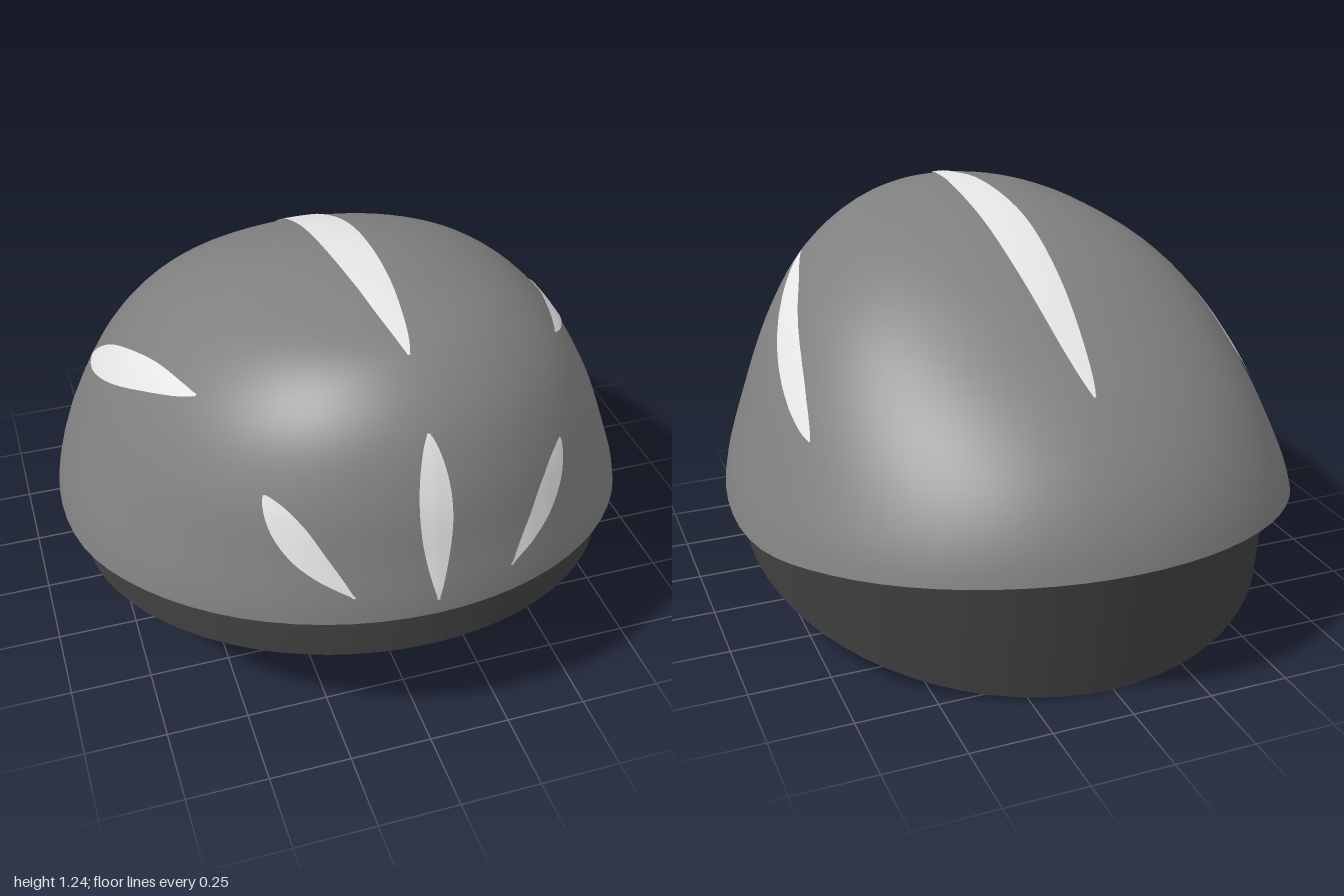
import * as THREE from 'three';

const SEG = 72, RINGS = 30;

// Smooth lookup in an evenly spaced table, t from 0 to 1
function sample(table, t) {
  const s = THREE.MathUtils.clamp(t, 0, 1) * (table.length - 1);
  const i = Math.min(Math.floor(s), table.length - 2), u = s - i;
  const p1 = table[i], p2 = table[i + 1];
  const p0 = table[i - 1] ?? 2 * p1 - p2, p3 = table[i + 2] ?? 2 * p2 - p1;
  return p1 + 0.5 * u * (p2 - p0 + u * (2 * p0 - 5 * p1 + 4 * p2 - p3 + u * (3 * (p1 - p2) + p3 - p0)));
}

// Rim height from back (z = -1) to front (z = 1)
const rimY = (z) => sample([0.45, 0.385, 0.33, 0.355, 0.44, 0.525], (z + 1) / 2);

// Dome fullness from rim to crown, for each direction
const FRONT = [1, 0.99, 1.035, 1.08, 1.077, 1.02, 1];
const SIDE = [1, 0.955, 0.955, 0.982, 0.998, 1, 1];
const BACK = [1, 0.965, 0.93, 0.915, 0.943, 0.985, 1];
const CROWN_Y = 1.237, CROWN_Z = 0.35;

function domePoint(a, t) {
  const c = Math.cos(a), w = c * c;
  const rho = w * sample(c > 0 ? FRONT : BACK, t) + (1 - w) * sample(SIDE, t);
  const f = rho * Math.cos(t * Math.PI / 2), h = rho * Math.sin(t * Math.PI / 2);
  const y0 = rimY(c);
  return [0.917 * Math.sin(a) * f, y0 + (CROWN_Y - y0) * h, CROWN_Z + (c - CROWN_Z) * f];
}

// Grid of points to a surface; rows run upward, columns run counter-clockwise
function surface(rows, closed) {
  const n = rows[0].length, index = [];
  for (let i = 0; i < rows.length - 1; i++) {
    for (let j = 0; j < (closed ? n : n - 1); j++) {
      const k = (j + 1) % n, a = i * n + j, b = i * n + k;
      index.push(a, b, b + n, a, b + n, a + n);
    }
  }
  const g = new THREE.BufferGeometry();
  g.setAttribute('position', new THREE.Float32BufferAttribute(rows.flat(2), 3));
  g.setIndex(index);
  g.computeVertexNormals();
  return g;
}

const ring = (fn) => Array.from({ length: SEG }, (_, j) => fn(j / SEG * Math.PI * 2));

export function createModel() {
  const group = new THREE.Group();
  const shellMat = new THREE.MeshStandardMaterial({ color: 0x808080 });
  shellMat.name = 'shellGrey';
  const linerMat = new THREE.MeshStandardMaterial({ color: 0x404040 });
  linerMat.name = 'linerCharcoal';
  const stripeMat = new THREE.MeshStandardMaterial({ color: 0xffffff, side: THREE.DoubleSide });
  stripeMat.name = 'stripeWhite';

  const add = (name, geometry, material) => {
    const mesh = new THREE.Mesh(geometry, material);
    mesh.name = name;
    group.add(mesh);
    return mesh;
  };

  // Outer dome
  const rows = [];
  for (let i = 0; i <= RINGS; i++) rows.push(ring((a) => domePoint(a, i / RINGS)));
  const shell = add('shell', surface(rows, true), shellMat);

  // Underside of the rim
  const rimInner = ring((a) => {
    const z = 0.02 + 0.93 * Math.cos(a);
    return [0.85 * Math.sin(a), rimY(z) - 0.012, z];
  });
  add('rimUnderside', surface([rimInner, rows[0]], true), shellMat);

  // Liner wall and its slanted flat base
  const baseY = (z) => 0.37 * (z + 0.865) / 1.83;
  const bottom = ring((a) => {
    const z = 0.05 + 0.915 * Math.cos(a);
    return [0.858 * Math.sin(a), baseY(z), z];
  });
  const top = ring((a) => {
    const z = 0.028 + 0.937 * Math.cos(a);
    return [0.862 * Math.sin(a), rimY(z) + 0.01, z];
  });
  add('linerWall', surface([bottom, top], true), linerMat);
  add('linerBase', surface([ring(() => [0, baseY(0.05), 0.05]), bottom], true), linerMat);

  // Stripes: leaf outlines laid onto the dome along a direction
  const ray = new THREE.Raycaster();
  shell.updateMatrixWorld();
  function stripe(name, spine, halfWidth, skew, place, dir) {
    const curve = new THREE.CatmullRomCurve3(spine.map(([u, v]) => new THREE.Vector3(u, v, 0)));
    const direction = new THREE.Vector3(...dir);
    const grid = [];
    for (let i = 0; i <= 36; i++) {
      const s = (1 - Math.cos(i / 36 * Math.PI)) / 2;
      const p = curve.getPointAt(s), t = curve.getTangentAt(s);
      const w = Math.max(0.004, halfWidth * Math.pow(Math.max(0, Math.sin(Math.PI * Math.pow(s, skew))), 0.65));
      const row = [];
      for (let j = -3; j <= 3; j++) {
        const d = w * j / 3;
        ray.set(new THREE.Vector3(...place(p.x - t.y * d, p.y + t.x * d)), direction);
        const hit = ray.intersectObject(shell)[0];
        if (hit) row.push(hit.point.addScaledVector(hit.face.normal, 0.005).toArray());
      }
      if (row.length === 7) grid.push(row);
    }
    add(name, surface(grid, false), stripeMat);
  }

  const fromFront = (x, y) => [x, y, 3];
  stripe('crownStripe', [[0, -0.69], [0, 0], [0, 0.695]], 0.069, 1, (x, z) => [x, 3, z], [0, -1, 0]);
  stripe('frontStripe', [[0, 0.575], [0, 0.8], [0, 1.05]], 0.047, 1.25, fromFront, [0, 0, -1]);
  for (const [side, s] of [['left', 1], ['right', -1]]) {
    stripe(side + 'FrontStripe', [[s * 0.23, 0.607], [s * 0.345, 0.73], [s * 0.43, 0.88]],
      0.047, 1.4, fromFront, [0, 0, -1]);
    stripe(side + 'SideStripe', [[0.475, 1.022], [0.25, 0.955], [-0.02, 0.84], [-0.315, 0.683]],
      0.05, 1.1, (z, y) => [s * 3, y, z], [-s, 0, 0]);
  }
  return group;
}
